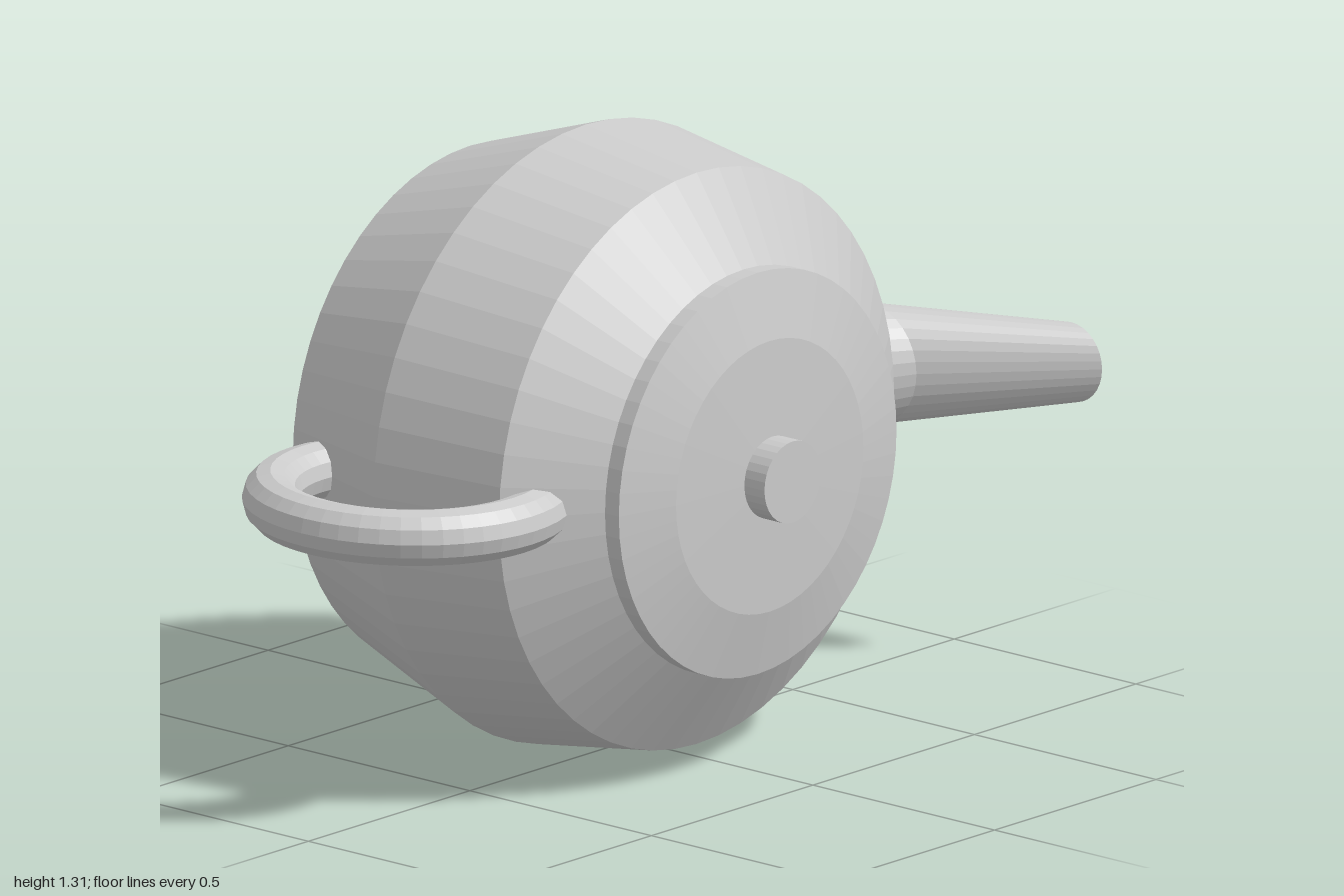
import * as THREE from 'three';

const CX = -0.045, CY = 0.66; // centre line of the pot, running along z

export function createModel() {
  const group = new THREE.Group();
  const solid = new THREE.MeshStandardMaterial({ color: 0xcccccc, flatShading: true });
  const open = new THREE.MeshStandardMaterial({ color: 0xcccccc, flatShading: true, side: THREE.DoubleSide });

  const add = (name, geometry, material = solid) => {
    const mesh = new THREE.Mesh(geometry, material);
    mesh.name = name;
    group.add(mesh);
    return mesh;
  };

  // Turned part around the z axis; profile is a list of [radius, z]
  const turned = (name, profile, sides) => {
    const geometry = new THREE.LatheGeometry(profile.map(([r, z]) => new THREE.Vector2(r, z)), sides);
    geometry.rotateX(Math.PI / 2);
    add(name, geometry).position.set(CX, CY, 0);
  };

  // Pot, lid and knob
  turned('body', [[0, -0.48], [0.413, -0.48], [0.55, -0.403], [0.656, -0.086], [0.612, 0.22], [0.417, 0.352], [0, 0.352]], 56);
  turned('lid', [[0, 0.35], [0.43, 0.35], [0.43, 0.388], [0.29, 0.421], [0, 0.432]], 56);
  turned('knob', [[0, 0.41], [0.087, 0.41], [0.087, 0.484], [0, 0.484]], 32);

  // Ring handle, partly sunk into the body
  const ring = new THREE.TorusGeometry(0.29, 0.06, 12, 48);
  ring.rotateX(Math.PI / 2);
  const handle = add('handle', ring);
  handle.position.set(-0.67, CY, -0.02);
  handle.scale.x = 0.943;

  // Open spout: an upright-ringed tube through [x, z, radius], tip first
  const rings = [[1, 0.322, 0.085], [0.72, 0.016, 0.129], [0.45, -0.138, 0.173]];
  const tube = new THREE.CylinderGeometry(1, 1, 1, 32, rings.length - 1, true);
  const p = tube.attributes.position;
  for (let i = 0; i < p.count; i++) {
    const [x, z, r] = rings[Math.round((0.5 - p.getY(i)) * (rings.length - 1))];
    p.setXYZ(i, x, CY - p.getX(i) * r, z + p.getZ(i) * r);
  }
  tube.computeVertexNormals();
  add('spout', tube, open);

  return group;
}
